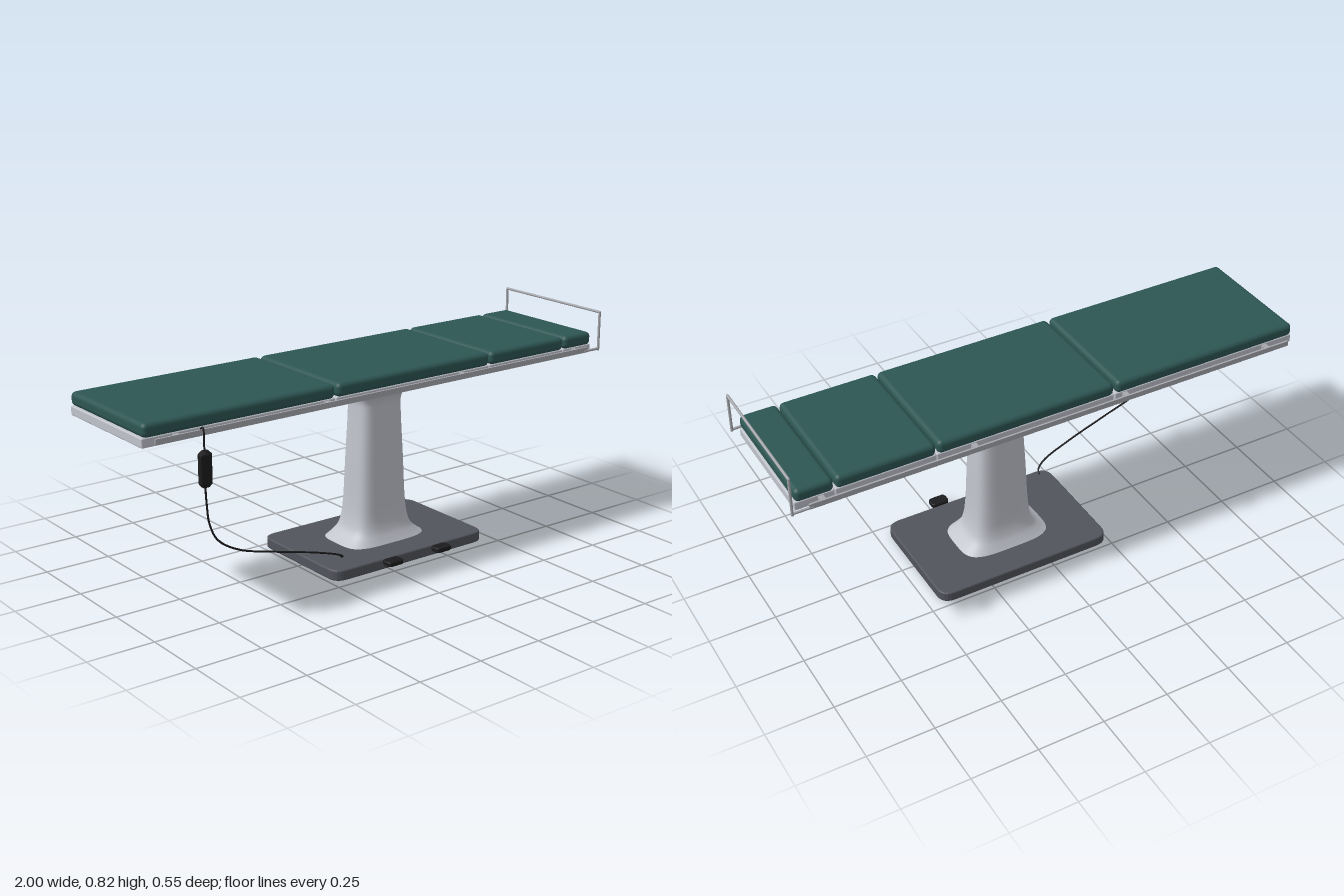
import * as THREE from 'three';
import { RoundedBoxGeometry } from 'three/addons/geometries/RoundedBoxGeometry.js';

const material = (name, color) => {
  const m = new THREE.MeshStandardMaterial({ color });
  m.name = name;
  return m;
};

// Rounded-rectangle plate lying flat, with a small bevel on its edges
function plate(w, h, d, r, bevel) {
  const x = w / 2 - bevel, y = d / 2 - bevel;
  const s = new THREE.Shape();
  s.moveTo(-x + r, -y);
  s.lineTo(x - r, -y); s.quadraticCurveTo(x, -y, x, -y + r);
  s.lineTo(x, y - r); s.quadraticCurveTo(x, y, x - r, y);
  s.lineTo(-x + r, y); s.quadraticCurveTo(-x, y, -x, y - r);
  s.lineTo(-x, -y + r); s.quadraticCurveTo(-x, -y, -x + r, -y);
  const g = new THREE.ExtrudeGeometry(s, {
    depth: h - 2 * bevel, bevelThickness: bevel, bevelSize: bevel, bevelSegments: 3, curveSegments: 6,
  });
  return g.translate(0, 0, bevel - h / 2).rotateX(-Math.PI / 2);
}

// Smooth column lofted through rounded sections [y, half width, half depth]
function loft(sections, exponent, around) {
  const curve = new THREE.CatmullRomCurve3(sections.map(([y, a, b]) => new THREE.Vector3(a, y, b)), false, 'centripetal');
  const rings = 48, pos = [], index = [];
  for (let j = 0; j <= rings; j++) {
    const p = curve.getPoint(j / rings);
    for (let i = 0; i < around; i++) {
      const t = (i / around) * Math.PI * 2, c = Math.cos(t), s = Math.sin(t);
      const k = Math.pow(Math.abs(c) ** exponent + Math.abs(s) ** exponent, -1 / exponent);
      pos.push(p.x * c * k, p.y, p.z * s * k);
    }
  }
  for (let j = 0; j < rings; j++) for (let i = 0; i < around; i++) {
    const a = j * around + i, b = j * around + (i + 1) % around;
    index.push(a, a + around, b, b, a + around, b + around);
  }
  const g = new THREE.BufferGeometry();
  g.setAttribute('position', new THREE.Float32BufferAttribute(pos, 3));
  g.setIndex(index);
  g.computeVertexNormals();
  return g;
}

export function createModel() {
  const model = new THREE.Group();
  model.name = 'operatingTable';
  const green = material('green upholstery', 0x2d5653);
  const grey = material('light grey enamel', 0xc1c4cc);
  const steel = material('steel', 0xa6a8ad);
  const dark = material('dark grey base', 0x52545c);
  const black = material('black plastic', 0x1c1c1e);

  const add = (name, geometry, mat, x = 0, y = 0, z = 0) => {
    const m = new THREE.Mesh(geometry, mat);
    m.name = name;
    m.position.set(x, y, z);
    model.add(m);
    return m;
  };
  const tube = (name, points, radius, mat, segments = 60) => add(name, new THREE.TubeGeometry(
    new THREE.CatmullRomCurve3(points.map(p => new THREE.Vector3(...p))), segments, radius, 8), mat);

  const midZ = -0.01;

  // Floor base and flared column
  add('base', plate(0.695, 0.04, 0.46, 0.045, 0.006), dark, 0.108, 0.023, midZ);
  add('baseFoot', new THREE.BoxGeometry(0.3, 0.006, 0.19), dark, 0.108, 0.003, midZ);
  add('column', loft([
    [0.04, 0.18, 0.122], [0.06, 0.152, 0.109], [0.085, 0.128, 0.096], [0.12, 0.116, 0.087],
    [0.18, 0.108, 0.082], [0.35, 0.1, 0.075], [0.54, 0.091, 0.068], [0.575, 0.092, 0.069],
    [0.6, 0.103, 0.078], [0.62, 0.13, 0.1], [0.648, 0.193, 0.137],
  ], 4, 64), grey, 0.108, 0, midZ);
  add('columnHead', new THREE.BoxGeometry(0.3, 0.012, 0.2), grey, 0.108, 0.651, midZ);

  // Four table sections, each a cushion on a tray
  [[-1, -0.245], [-0.235, 0.454], [0.461, 0.825], [0.832, 0.97]].forEach(([a, b], i) => {
    const x = (a + b) / 2, w = b - a;
    add('cushion' + (i + 1), new RoundedBoxGeometry(w, 0.05, 0.48, 4, 0.018), green, x, 0.71, midZ);
    add('tray' + (i + 1), new RoundedBoxGeometry(w + 0.006, 0.034, 0.465, 2, 0.005), grey, x, 0.67, midZ);
  });

  // Side rails and their brackets
  const rails = [0.247, -0.27];
  for (const z of rails) {
    add('sideRail', new THREE.BoxGeometry(1.9, 0.02, 0.007), steel, -0.018, 0.675, z);
    for (const x of [-0.88, -0.28, 0.32, 0.88])
      add('railBracket', new THREE.BoxGeometry(0.02, 0.014, 0.04), steel, x, 0.675, z - Math.sign(z) * 0.018);
    add('hoopClamp', new THREE.CylinderGeometry(0.005, 0.005, 0.075, 10).rotateZ(Math.PI / 2), steel, 0.955, 0.67, z);
    add('hoopPost', new THREE.CylinderGeometry(0.005, 0.005, 0.15, 12), steel, 0.992, 0.738, z);
    add('hoopCorner', new THREE.SphereGeometry(0.005, 12, 8), steel, 0.992, 0.812, z);
  }
  add('hoopBar', new THREE.CylinderGeometry(0.005, 0.005, 0.517, 12).rotateX(Math.PI / 2), steel, 0.992, 0.812, -0.0115);

  // Hand control: a flat box with tapered ends
  const hx = -0.797, hz = 0.265;
  add('handControl', new RoundedBoxGeometry(0.044, 0.105, 0.023, 2, 0.005), black, hx, 0.557, hz);
  for (const s of [-1, 1]) {
    const taper = new THREE.CylinderGeometry(0.5, 1, 0.012, 4).rotateY(Math.PI / 4);
    taper.scale(0.021 * Math.SQRT2, s, 0.0105 * Math.SQRT2);
    if (s < 0) taper.setIndex([...taper.index.array].reverse());
    add('handControlEnd', taper, black, hx, 0.557 + s * 0.057, hz);
  }

  // Control cable: hook above, long curve below
  tube('cableHook', [[hx, 0.688, 0.245], [hx, 0.694, 0.256], [hx, 0.685, 0.262], [hx, 0.65, 0.262], [hx, 0.615, 0.264]], 0.0032, black, 24);
  tube('cable', [
    [hx, 0.5, 0.262], [-0.79, 0.43, 0.257], [-0.778, 0.36, 0.251], [-0.745, 0.295, 0.246], [-0.66, 0.238, 0.238],
    [-0.5, 0.188, 0.228], [-0.33, 0.14, 0.214], [-0.215, 0.1, 0.2], [-0.182, 0.08, 0.183], [-0.175, 0.071, 0.162],
  ], 0.0035, black, 90);

  // Foot pedals
  for (const x of [-0.005, 0.22]) {
    add('footPedal', plate(0.07, 0.018, 0.046, 0.012, 0.004), black, x, 0.037, 0.248);
    add('pedalArm', new THREE.BoxGeometry(0.03, 0.006, 0.03), black, x, 0.033, 0.225);
  }
  return model;
}
